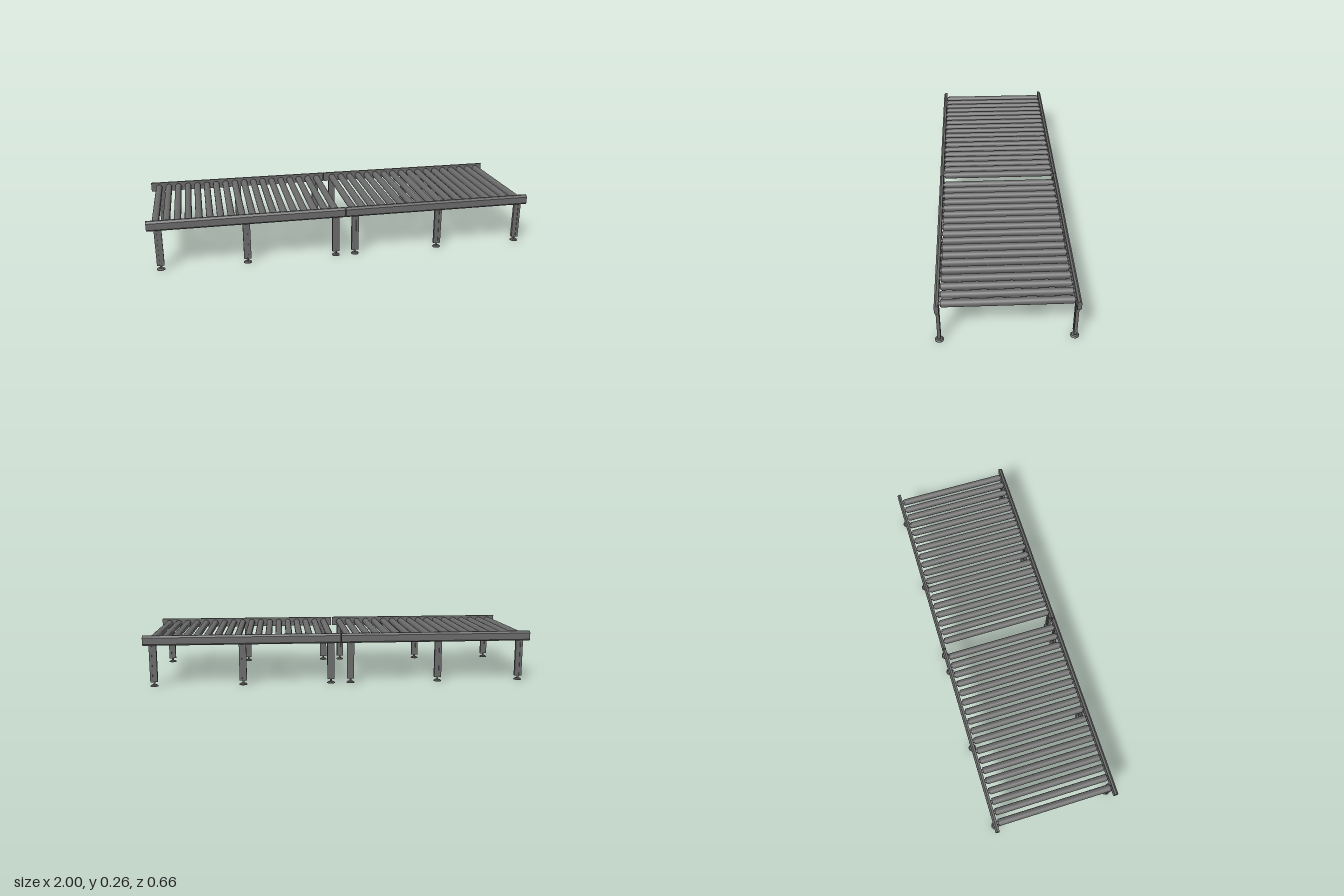
import * as THREE from 'three';

const darkGrey = new THREE.MeshStandardMaterial({ color: 0x6a6a6a });

function addMesh(parent, name, geometry, x = 0, y = 0, z = 0) {
  const mesh = new THREE.Mesh(geometry, darkGrey);
  mesh.name = name;
  mesh.position.set(x, y, z);
  parent.add(mesh);
  return mesh;
}

function shapeFrom(points) {
  return new THREE.Shape(points.map(([x, y]) => new THREE.Vector2(x, y)));
}

// Side rail: chamfered on its outer edges, running along x
function railGeometry(length) {
  const profile = shapeFrom([
    [-0.01, 0.21], [0.005, 0.21], [0.01, 0.217], [0.01, 0.25], [0.001, 0.26], [-0.01, 0.26],
  ]);
  const geometry = new THREE.ExtrudeGeometry(profile, { depth: length, bevelEnabled: false });
  geometry.translate(0, 0, -length / 2);
  return geometry.rotateY(-Math.PI / 2);
}

// Leg post: upright bar with a shallow slot on both broad faces
function postGeometry() {
  const w = 0.0185, d = 0.0075, s = 0.005, g = 0.0045;
  const profile = shapeFrom([
    [-w, -d], [-s, -d], [-s, -g], [s, -g], [s, -d], [w, -d],
    [w, d], [s, d], [s, g], [-s, g], [-s, d], [-w, d],
  ]);
  const geometry = new THREE.ExtrudeGeometry(profile, { depth: 0.19, bevelEnabled: false });
  return geometry.rotateX(-Math.PI / 2);
}

// Roller: tube with slightly stepped end caps, lying along z
function rollerGeometry() {
  const profile = [
    [0, -0.296], [0.0165, -0.296], [0.0165, -0.291], [0.018, -0.291],
    [0.018, 0.291], [0.0165, 0.291], [0.0165, 0.296], [0, 0.296],
  ];
  // Doubled corners keep the steps crisp
  const points = profile.flatMap(([r, y]) => [new THREE.Vector2(r, y), new THREE.Vector2(r, y)]);
  return new THREE.LatheGeometry(points, 24).rotateX(Math.PI / 2);
}

const roller = rollerGeometry();
const axle = new THREE.CylinderGeometry(0.0095, 0.0095, 0.61, 16).rotateX(Math.PI / 2);
const post = postGeometry();
const stem = new THREE.CylinderGeometry(0.005, 0.005, 0.022, 12);
const foot = new THREE.LatheGeometry(
  [[0, 0], [0.0205, 0], [0.0205, 0], [0.0205, 0.003], [0.0205, 0.003], [0.015, 0.0075], [0.015, 0.0075], [0, 0.0075]]
    .map(([r, y]) => new THREE.Vector2(r, y)), 24);

function makeLeg(x, z) {
  const leg = new THREE.Group();
  leg.name = 'leg';
  leg.position.set(x, 0, z);
  addMesh(leg, 'legPost', post, 0, 0.022);
  addMesh(leg, 'footStem', stem, 0, 0.015);
  addMesh(leg, 'footPad', foot);
  return leg;
}

// One conveyor section: two rails, a row of rollers and three pairs of legs
function makeSection(name, xStart, xEnd, firstRoller, legXs) {
  const section = new THREE.Group();
  section.name = name;
  const rail = railGeometry(xEnd - xStart);
  const middle = (xStart + xEnd) / 2;
  for (const side of [1, -1]) {
    const mesh = addMesh(section, side > 0 ? 'frontRail' : 'backRail', rail, middle, 0, side * 0.312);
    if (side < 0) mesh.rotation.y = Math.PI;
    for (const x of legXs) section.add(makeLeg(x, side * 0.3105));
  }
  for (let i = 0; i < 18; i++) {
    const x = firstRoller + i * 0.0535;
    addMesh(section, 'roller', roller, x, 0.2345, 0);
    addMesh(section, 'rollerAxle', axle, x, 0.2345, 0);
  }
  return section;
}

export function createModel() {
  const model = new THREE.Group();
  model.name = 'rollerConveyor';
  model.add(makeSection('rightSection', -1, -0.005, -0.956, [-0.946, -0.513, -0.053]));
  model.add(makeSection('leftSection', 0, 1, 0.048, [0.049, 0.501, 0.951]));
  return model;
}
